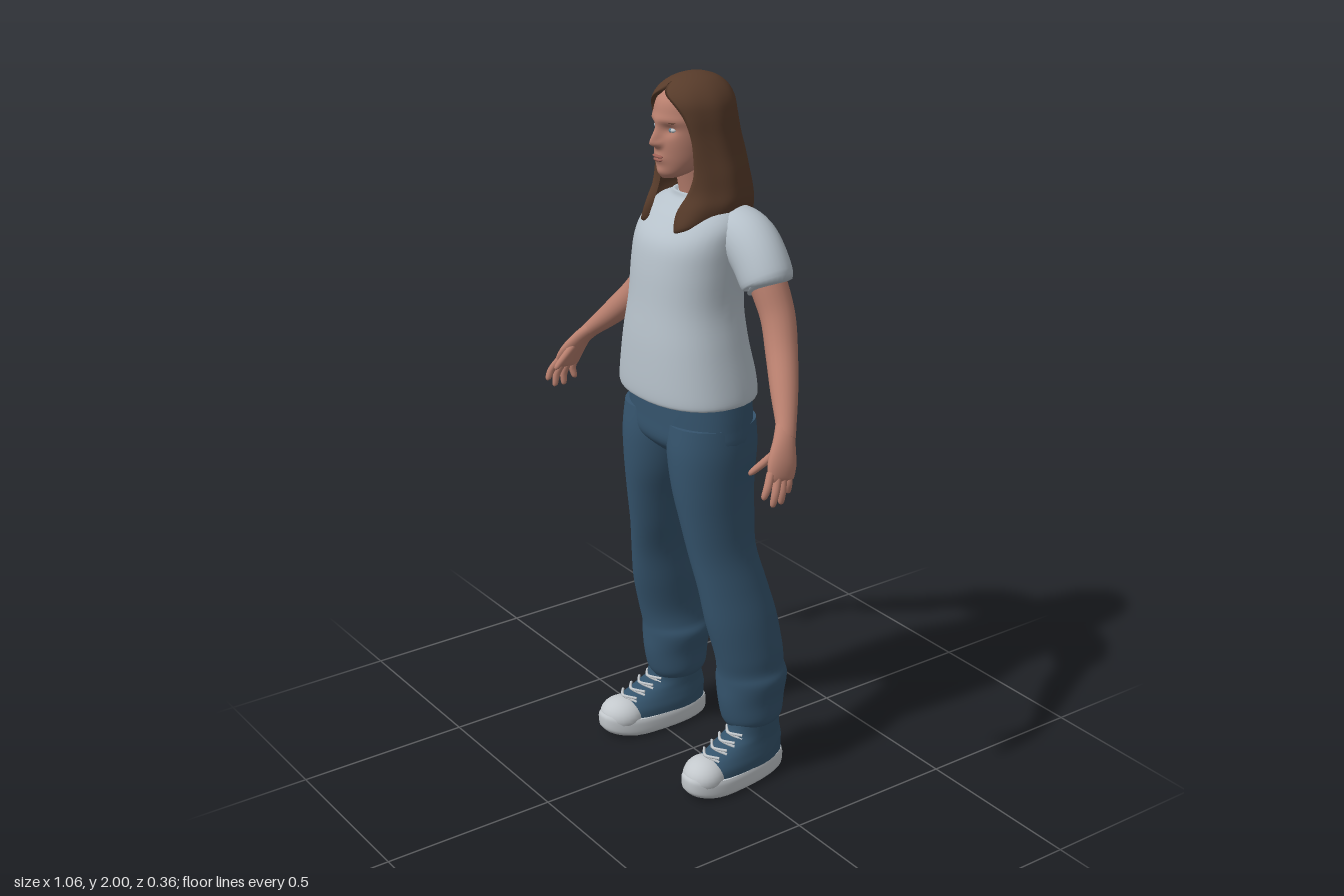
import * as THREE from 'three';

const V = (x, y, z) => new THREE.Vector3(x, y, z);
const mat = (name, color, side = THREE.FrontSide) => {
  const m = new THREE.MeshStandardMaterial({ color, side });
  m.name = name;
  return m;
};

// Smoothly resample rows of numbers (Catmull-Rom per column)
function smooth(rows, n) {
  const out = [], last = rows.length - 1;
  for (let i = 0; i < last; i++) {
    const a = rows[Math.max(i - 1, 0)], b = rows[i], c = rows[i + 1], d = rows[Math.min(i + 2, last)];
    for (let k = 0; k < n; k++) {
      const t = k / n;
      out.push(b.map((v, j) => v + 0.5 * t * (c[j] - a[j] + t * (2 * a[j] - 5 * v + 4 * c[j] - d[j]
        + t * (3 * (v - c[j]) + d[j] - a[j])))));
    }
  }
  out.push(rows[last].slice());
  return out;
}

// Surface through loops of points, optionally capped at both ends
function skin(rings, closed = true, cap = true) {
  const pos = [], idx = [], n = rings[0].length;
  rings.forEach(r => r.forEach(p => pos.push(p.x, p.y, p.z)));
  for (let i = 0; i < rings.length - 1; i++) {
    for (let j = 0; j < (closed ? n : n - 1); j++) {
      const k = (j + 1) % n, a = i * n + j, b = i * n + k;
      idx.push(a, b, b + n, a, b + n, a + n);
    }
  }
  if (cap) [rings[0], rings[rings.length - 1]].forEach((ring, e) => {
    const start = pos.length / 3, mid = V(0, 0, 0);
    ring.forEach(p => { pos.push(p.x, p.y, p.z); mid.addScaledVector(p, 1 / n); });
    pos.push(mid.x, mid.y, mid.z);
    for (let j = 0; j < n; j++) {
      const a = start + j, b = start + (j + 1) % n;
      idx.push(start + n, e ? a : b, e ? b : a);
    }
  });
  const g = new THREE.BufferGeometry();
  g.setAttribute('position', new THREE.Float32BufferAttribute(pos, 3));
  g.setIndex(idx);
  g.computeVertexNormals();
  return g;
}

// Horizontal oval sections, rows bottom to top: [y, xCentre, zCentre, xRadius, zRadius]
function loft(rows, { n = 5, seg = 36, power = 2, warp } = {}) {
  const bend = v => Math.sign(v) * Math.abs(v) ** (2 / power);
  return skin(smooth(rows, n).map(([y, cx, cz, rx, rz]) => Array.from({ length: seg }, (_, j) => {
    const a = j / seg * Math.PI * 2;
    const p = V(cx + rx * bend(Math.sin(a)), y, cz + rz * bend(Math.cos(a)));
    if (warp) warp(p);
    return p;
  })));
}

// Oval sections along a path: [x, y, z, radius across, radius towards z]
function sweep(rows, n = 5, seg = 20) {
  const pts = smooth(rows, n), at = i => V(...pts[Math.min(Math.max(i, 0), pts.length - 1)].slice(0, 3));
  return skin(pts.map((q, i) => {
    const t = at(i + 1).sub(at(i - 1)).normalize();
    const z = V(0, 0, 1).addScaledVector(t, -t.z).normalize(), x = t.clone().cross(z);
    return Array.from({ length: seg }, (_, j) => {
      const a = j / seg * Math.PI * 2;
      return at(i).addScaledVector(x, q[3] * Math.sin(a)).addScaledVector(z, q[4] * Math.cos(a));
    });
  }));
}

const bump = (v, c, w) => Math.exp(-(((v - c) / w) ** 2));

export function createModel() {
  const model = new THREE.Group();
  model.name = 'woman';
  const skinMat = mat('skin', 0xb87f6e), shirt = mat('shirt grey', 0xb7c2cb, THREE.DoubleSide);
  const denim = mat('denim blue', 0x35546d), hairMat = mat('hair brown', 0x573b2a, THREE.DoubleSide);
  const rubber = mat('shoe white', 0xc3c8cc), canvas = mat('canvas blue', 0x34536b);
  const lip = mat('lip pink', 0x9c5f55), iris = mat('iris blue', 0x5f7f92), brow = mat('brow brown', 0x6e4a3b);
  const add = (name, geo, m, parent = model) => {
    const mesh = new THREE.Mesh(geo, m);
    mesh.name = name;
    parent.add(mesh);
    return mesh;
  };
  const blob = (name, m, p, r, parent) => {
    const mesh = add(name, new THREE.SphereGeometry(1, 20, 14), m, parent);
    mesh.position.set(...p);
    mesh.scale.set(...r);
    return mesh;
  };

  // Head with nose, eye sockets, lips and chin pushed out of the oval
  add('head', loft([
    [1.735, 0, .07, .02, .028], [1.75, 0, .055, .043, .05], [1.78, 0, .033, .062, .077],
    [1.82, 0, .02, .072, .093], [1.86, 0, .012, .078, .1], [1.9, 0, .008, .08, .105],
    [1.94, 0, 0, .074, .1], [1.97, 0, -.005, .05, .065]], {
    n: 8, seg: 96, warp: p => {
      if (p.z < .03) return;
      const x = Math.abs(p.x), slope = p.y > 1.83 ? bump(p.y, 1.83, .035) : bump(p.y, 1.83, .011);
      p.z += .026 * bump(x, 0, .011) * slope + .008 * bump(x, .013, .007) * bump(p.y, 1.828, .009)
        - .011 * bump(x, .032, .018) * bump(p.y, 1.865, .015) + .004 * bump(p.y, 1.89, .012)
        + .006 * bump(x, 0, .022) * bump(p.y, 1.788, .012) + .004 * bump(x, 0, .02) * bump(p.y, 1.752, .012);
    } }), skinMat);
  add('neck', loft([[1.6, 0, -.025, .06, .055], [1.68, 0, -.015, .05, .05], [1.8, 0, .005, .047, .055]]), skinMat);
  blob('upperLip', lip, [0, 1.794, .113], [.021, .0045, .008]);
  blob('lowerLip', lip, [0, 1.785, .112], [.018, .005, .008]);
  for (const s of [1, -1]) {
    blob('eye', rubber, [s * .032, 1.865, .089], [.0135, .0065, .009]);
    blob('iris', iris, [s * .032, 1.865, .095], [.0055, .0058, .004]);
    blob('eyebrow', brow, [s * .034, 1.886, .1], [.019, .003, .005]).rotation.y = s * .4;
  }

  // Long hair: shell open around the face, [y, zCentre, xRadius, zRadius, half opening angle]
  const hairRows = smooth([
    [1.59, -.012, .11, .135, .7], [1.597, -.01, .126, .154, .62], [1.65, -.022, .138, .143, .5],
    [1.7, -.03, .136, .128, .6], [1.75, -.027, .13, .12, .73], [1.8, -.02, .12, .118, .8],
    [1.85, -.012, .113, .113, .8], [1.9, -.004, .109, .112, .7], [1.935, 0, .101, .11, .48],
    [1.963, 0, .083, .095, .1], [1.985, -.002, .056, .066, 0], [1.997, -.004, .025, .03, 0], [2, -.005, .001, .001, 0]], 5);
  const cols = 56;
  add('hair', skin(hairRows.map(([y, cz, rx, rz, open]) => Array.from({ length: cols + 3 }, (_, j) => {
    const o = Math.max(open, 0), t = Math.min(Math.max((j - 1) / cols, 0), 1), a = o + t * (Math.PI * 2 - 2 * o);
    const edge = (j === 0 || j === cols + 2) && o > .02 ? .86 : 1;
    const low = Math.min(Math.max((1.72 - y) / .12, 0), 1);
    const k = edge * (1 + .012 * Math.sin(a * 9) * Math.min(1, (2 - y) * 8));
    return V(k * rx * Math.sin(a), y + low * (.035 * Math.sin(a) ** 2 - .015 * bump(a, Math.PI, .6)),
      cz + k * rz * Math.cos(a));
  })), false, false), hairMat);

  // T-shirt
  add('shirtBody', loft([
    [1.14, 0, .018, .207, .155], [1.15, 0, .018, .214, .162], [1.2, 0, .02, .206, .161],
    [1.3, 0, .027, .185, .149], [1.4, 0, .025, .165, .14], [1.5, 0, .015, .165, .14],
    [1.57, 0, .005, .167, .134], [1.62, 0, -.012, .163, .115], [1.655, 0, -.02, .135, .09],
    [1.675, 0, -.018, .09, .07], [1.69, 0, -.015, .064, .062], [1.686, 0, -.015, .052, .052]], { power: 2.2 }), shirt);

  for (const s of [1, -1]) {
    const side = s > 0 ? 'left' : 'right';
    add(side + 'Sleeve', sweep([
      [.07, 1.6, -.045, .055, .06], [.11, 1.6, -.052, .066, .075], [.16, 1.58, -.06, .073, .077],
      [.205, 1.54, -.062, .074, .074], [.24, 1.488, -.063, .071, .07], [.242, 1.484, -.063, .055, .055]]
      .map(([x, ...r]) => [x * s, ...r]), 5, 28), shirt);

    // Arm, palm and fingers
    const limb = (name, rows, n, seg) => add(side + name, sweep(rows.map(([x, ...r]) => [x * s, ...r]), n, seg), skinMat);
    limb('Arm', [[.205, 1.55, -.062, .048, .048], [.24, 1.48, -.066, .049, .05], [.28, 1.4, -.068, .044, .047],
      [.325, 1.32, -.047, .041, .043], [.388, 1.245, -.008, .035, .037], [.45, 1.18, .033, .023, .028],
      [.47, 1.155, .05, .02, .028]]);
    limb('Palm', [[.445, 1.185, .03, .02, .026], [.473, 1.15, .055, .02, .031], [.495, 1.105, .078, .019, .042],
      [.506, 1.07, .09, .014, .04], [.508, 1.06, .092, .007, .032]]);
    const digits = [[.5, 1.085, .118, .513, 1.025, .148], [.506, 1.075, .1, .517, 1, .123],
      [.505, 1.072, .083, .514, 1, .095], [.502, 1.08, .063, .503, 1.018, .065], [.478, 1.13, .08, .461, 1.075, .15]];
    digits.forEach(([x, y, z, u, v, w], i) => limb(i < 4 ? 'Finger' : 'Thumb', [
      [x, y, z, .011, .011], [(x + u) / 2 + (i < 4 ? .006 : 0), (y + v) / 2, (z + w) / 2 + .004, .0105, .0105],
      [u, v + .006, w, .008, .008], [u - .001, v, w, .002, .002]], 4, 10));

    // Trouser leg, gathered at the ankle
    add(side + 'TrouserLeg', loft([
      [.165, .18, -.07, .062, .076], [.19, .184, -.07, .08, .09], [.25, .184, -.068, .084, .1],
      [.31, .183, -.07, .093, .105], [.345, .185, -.064, .081, .102], [.4, .187, -.055, .077, .105],
      [.5, .177, -.035, .075, .11], [.6, .163, -.015, .067, .106], [.7, .142, .004, .068, .104],
      [.8, .128, .012, .078, .113], [.9, .114, .017, .095, .122], [1, .106, .014, .108, .13],
      [1.08, .1, .012, .11, .125]].map(([y, x, ...r]) => [y, x * s, ...r])), denim);

    // High-top shoe, placed and turned out slightly
    const shoe = new THREE.Group();
    shoe.name = side + 'Shoe';
    model.add(shoe);
    const place = new THREE.Matrix4().set(1, 0, s * .07, s * .2, 0, 1, 0, 0, 0, 0, 1, 0, 0, 0, 0, 1);
    const put = (name, geo, m) => add(name, geo.applyMatrix4(place), m, shoe);
    const toe = p => {
      p.x *= 1 + .5 * Math.min(p.z, .1);
      p.y += .02 * Math.max(0, (p.z - .06) / .12) ** 2;
    };
    put('sole', loft([[0, 0, .005, .06, .162], [.012, 0, .005, .069, .173], [.042, 0, .005, .07, .175],
      [.056, 0, .004, .067, .17]], { power: 2.4, warp: toe }), rubber);
    put('upper', loft([[.045, 0, 0, .066, .165], [.075, 0, -.005, .066, .158], [.1, 0, -.025, .061, .14],
      [.125, 0, -.048, .056, .112], [.15, 0, -.068, .055, .086], [.2, 0, -.072, .056, .08]], { power: 2.2 }), canvas);
    put('toeCap', new THREE.SphereGeometry(1, 24, 16).scale(.064, .052, .066).translate(0, .058, .108), rubber);
    for (let i = 0; i < 4; i++) {
      const y = .108 + i * .014, z = .1 - i * .028;
      for (const d of [1, -1]) put('lace', sweep([[-.036, y + d * .006, z - .016, .004, .004],
        [0, y + .006, z + .006, .004, .004], [.036, y - d * .006, z - .016, .004, .004]], 4, 8), rubber);
    }
  }

  // Seat of the trousers
  add('trouserSeat', loft([[.955, 0, .01, .04, .06], [.985, 0, .01, .14, .1], [1.02, 0, .012, .207, .127],
    [1.08, 0, .01, .212, .132], [1.16, 0, .012, .205, .13]], { power: 2.2 }), denim);
  return model;
}
